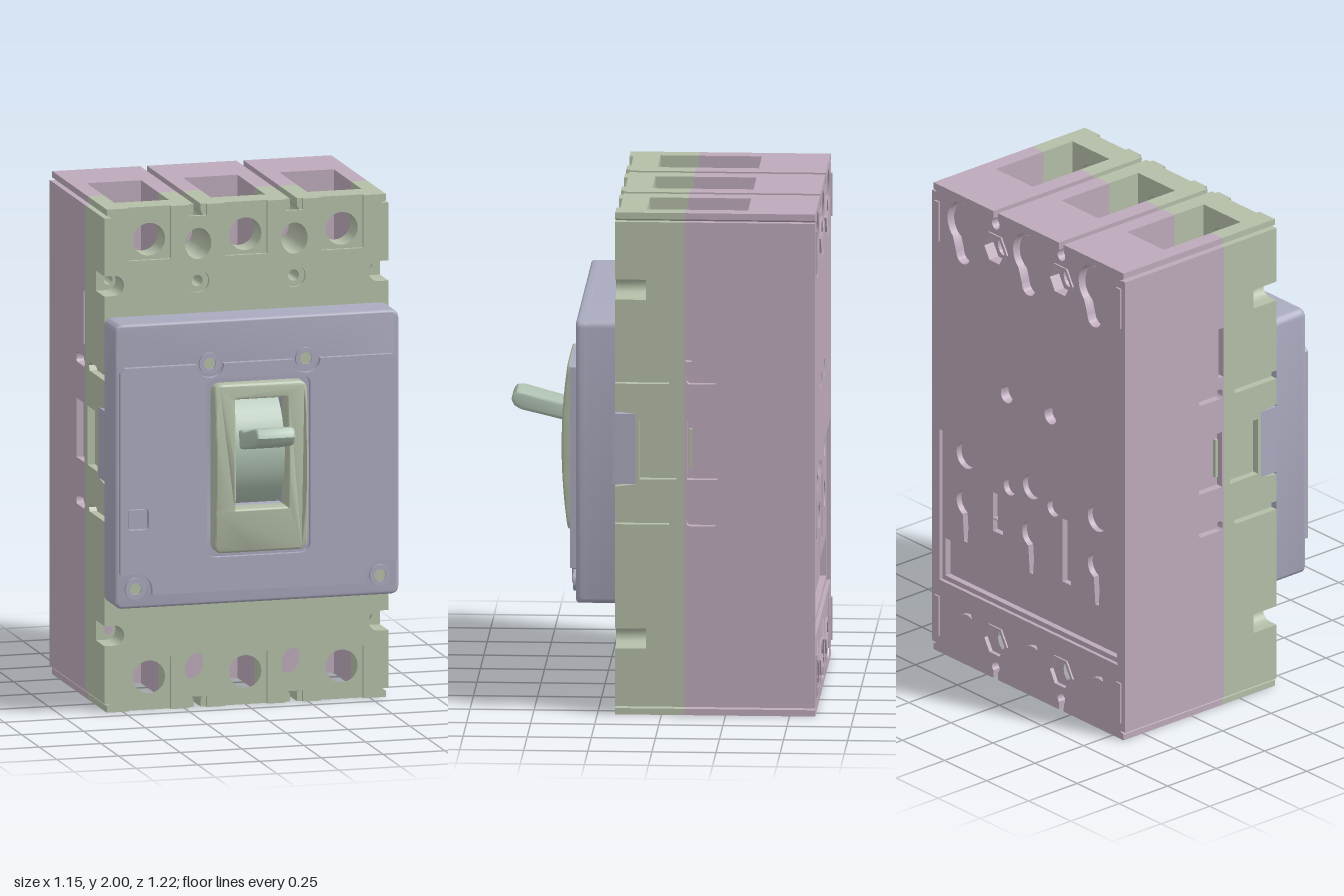
import * as THREE from 'three';
import { toCreasedNormals } from 'three/addons/utils/BufferGeometryUtils.js';

const mat = (color) => new THREE.MeshStandardMaterial({ color });
const GREEN = mat(0xb4bea8), PURPLE = mat(0xbdaabb), BLUE = mat(0xaaaabf), PALE = mat(0xafc2b3);
const V = (x, y) => new THREE.Vector2(x, y);
const rad = THREE.MathUtils.degToRad;

// Point loops
function arc(cx, cy, rx, a0, a1, n = 20, ry = rx) {
  return Array.from({ length: n + 1 }, (_, i) => {
    const a = rad(a0 + ((a1 - a0) * i) / n);
    return V(cx + rx * Math.cos(a), cy + ry * Math.sin(a));
  });
}
const circle = (cx, cy, r, ry = r, n = 32) => arc(cx, cy, r, 0, 360 - 360 / n, n - 1, ry);
const hex = (cx, cy, r) => circle(cx, cy, r, r, 6);
function rect(x0, x1, y0, y1, r = 0) {
  if (!r) return [V(x0, y0), V(x1, y0), V(x1, y1), V(x0, y1)];
  return [...arc(x1 - r, y1 - r, r, 0, 90, 6), ...arc(x0 + r, y1 - r, r, 90, 180, 6),
    ...arc(x0 + r, y0 + r, r, 180, 270, 6), ...arc(x1 - r, y0 + r, r, 270, 360, 6)];
}
const keyhole = (x, y, r, w, y1) => [...arc(x, y, r, -70, 250, 24), V(x - w, y1), V(x + w, y1)];
const flipY = (p) => p.map((v) => V(v.x, 2 - v.y));
const flipX = (p) => p.map((v) => V(-v.x, v.y));
const bothEnds = (list) => [...list, ...list.map(flipY)];

function extrude(pts, holes, z0, z1, bevel = 0) {
  const shape = new THREE.Shape(pts);
  shape.holes = holes.map((h) => new THREE.Path(h));
  const geo = new THREE.ExtrudeGeometry(shape, {
    depth: z1 - z0 - 2 * bevel, bevelEnabled: bevel > 0, bevelThickness: bevel,
    bevelSize: bevel, bevelOffset: -bevel, bevelSegments: 3, curveSegments: 12,
  });
  geo.translate(0, 0, z0 + bevel);
  return toCreasedNormals(geo, 0.6);
}

// Section of the case: pole cut-outs, keyhole slots between poles, end lips
function caseOutline({ half = 0.11, depth = 0, slot = 0, mount = false }) {
  const q = depth ? [V(0, 2 - depth), V(half, 2 - depth), V(half, 2)] : [V(0, 2)];
  const s = 0.195;
  if (slot) q.push(V(s - slot, 2), V(s - slot, 1.955), V(s + slot, 1.955), V(s + slot, 2));
  else q.push(V(s - 0.014, 2), ...arc(s, 1.95, 0.023, 130, 410, 12), V(s + 0.014, 2));
  if (depth) q.push(V(0.39 - half, 2), V(0.39 - half, 2 - depth), V(0.39 + half, 2 - depth), V(0.39 + half, 2));
  q.push(V(0.565, 2), V(0.565, 1.975), V(0.545, 1.965));
  if (mount) q.push(V(0.545, 1.735), ...arc(0.535, 1.695, 0.04, 90, 270, 12), V(0.545, 1.655));
  const right = [...q, ...flipY(q).reverse()];
  return [...right, ...flipX(right).reverse()];
}

export function createModel() {
  const root = new THREE.Group();
  const add = (name, geo, material) => {
    const m = new THREE.Mesh(geo, material);
    m.name = name;
    root.add(m);
    return m;
  };
  const poles = [-0.39, 0, 0.39], gaps = [-0.195, 0.195];

  // Case, stacked from front to back
  const bolt = (r, ry) => bothEnds(gaps.map((x) => circle(x, 1.845, r, ry)));
  const wide = bolt(0.053, 0.062), narrow = bolt(0.032, 0.042);
  const ports = bothEnds(poles.map((x) => circle(x, 1.87, 0.065)));
  const upper = (r) => gaps.map((x) => circle(x, 1.695, r));
  const mounts = bothEnds([-0.525, 0.525].map((x) => circle(x, 1.695, 0.018)));
  // window behind the switch
  const well = rect(-0.105, 0.105, 0.825, 1.26);
  add('caseFrontFace', extrude(caseOutline({ half: 0.085, depth: 0.21, slot: 0.035, mount: true }),
    [...wide, ...upper(0.045), well], 0.165, 0.18), GREEN);
  add('caseFrontWall', extrude(caseOutline({ mount: true }), [...wide, ...ports, ...upper(0.022), well], 0.06, 0.165), GREEN);
  add('caseFrontHalf', extrude(caseOutline({ depth: 0.4 }), [...wide, ...upper(0.022), ...mounts], -0.09, 0.06), GREEN);
  add('caseRearHalf', extrude(caseOutline({ depth: 0.4 }), narrow, -0.335, -0.09), PURPLE);
  add('caseRearWall', extrude(caseOutline({}), narrow, -0.56, -0.335), PURPLE);

  // Recesses in the back
  const drop = (x) => [...arc(x, 1.88, 0.092, -50, 230, 30), ...arc(x, 1.75, 0.04, 180, 360, 12)];
  const backHoles = [...bothEnds([...poles.map(drop), ...gaps.map((x) => hex(x, 1.84, 0.06))]),
    circle(-0.13, 1.24, 0.035), circle(0.13, 1.24, 0.035)];
  const panelHoles = [
    ...poles.map((x) => circle(x, 0.885, x ? 0.055 : 0.05)),
    ...poles.map((x) => keyhole(x, 0.68, 0.055, 0.01, 0.515)),
    circle(0.13, 0.84, 0.035), circle(-0.13, 0.84, 0.035),
    rect(0.17, 0.23, 0.62, 0.67), rect(0.2, 0.23, 0.675, 0.785),
    rect(-0.235, -0.185, 0.545, 0.815), rect(-0.51, 0.51, 0.33, 0.49),
  ];
  add('backRecessLayer', extrude(caseOutline({}), [...backHoles, ...panelHoles], -0.585, -0.56), PURPLE);
  add('backFace', extrude(caseOutline({}), [...backHoles, rect(-0.53, 0.53, 0.31, 0.955)], -0.6, -0.585), PURPLE);
  for (const y of [1.845, 0.155]) {
    for (const x of gaps) add('boltRim', extrude(hex(x, y < 1 ? 0.16 : 1.84, 0.075), [hex(x, y < 1 ? 0.16 : 1.84, 0.06)], -0.607, -0.59), PURPLE);
    for (const x of [-0.54, 0.54]) add('backFoot', new THREE.BoxGeometry(0.025, 0.17, 0.02).translate(x, y, -0.598), PURPLE);
  }
  for (const y of [1.88, 0.12])
    for (const x of poles) add('terminalPlug', extrude(circle(x, y, 0.078), [], -0.578, -0.555), PURPLE);

  // Side skins drawn as z against y, with their grooves and windows
  const fq = [V(-0.09, 1.965), V(0.18, 1.965), V(0.18, 1.735), V(0.06, 1.735), V(0.06, 1.655), V(0.18, 1.655),
    V(0.18, 1.355), V(-0.03, 1.355), V(-0.04, 1.34), V(-0.03, 1.32), V(0.18, 1.32)];
  const flank = [...fq, V(0.18, 1.21), V(0.1, 1.2), V(0.1, 0.92), V(0.18, 0.91),
    ...fq.map((p) => V(p.x, p.y > 1.4 ? 2 - p.y : 2.115 - p.y)).reverse()];
  const rearHoles = [rect(-0.22, -0.1, 0.94, 1.175), rect(-0.12, -0.094, 1.41, 1.62),
    rect(-0.22, -0.098, 1.32, 1.36, 0.015), rect(-0.22, -0.098, 0.755, 0.795, 0.015)];
  for (const s of [-1, 1]) {
    const side = (g) => g.rotateY(-Math.PI / 2).translate(s > 0 ? 0.575 : -0.545, 0, 0);
    add('frontSideSkin', side(extrude(flank, [rect(-0.06, 0.085, 0.94, 1.175)], 0, 0.03)), GREEN);
    add('rearSideSkin', side(extrude(rect(-0.6, -0.09, 0.035, 1.965), rearHoles, 0, 0.03)), PURPLE);
    add('coverSideTab', new THREE.BoxGeometry(0.03, 0.28, 0.09).translate(s * 0.56, 1.06, 0.145), BLUE);
    add('sideLatch', new THREE.BoxGeometry(0.015, 0.16, 0.012).translate(s * 0.552, 1.06, -0.115), GREEN);
  }

  // Cover with a stepped label recess
  const coverEdge = rect(-0.575, 0.575, 0.44, 1.57, 0.03);
  const label = [V(-0.54, 1.545), V(-0.555, 1.53), V(-0.555, 1.42), V(-0.26, 1.42), V(-0.22, 1.44), V(-0.17, 1.48),
    V(-0.14, 1.488), V(0.555, 1.488), V(0.555, 1.535), V(0.54, 1.545)];
  add('coverBase', extrude(coverEdge, [well], 0.18, 0.315), BLUE);
  add('coverFront', extrude(coverEdge, [label, well], 0.28, 0.333, 0.012), BLUE);

  // Raised face plate, cut back around the screws
  const half = [V(0, 1.4), ...arc(0.195, 1.4, 0.055, 180, 360), V(0.54, 1.4), V(0.56, 1.38), V(0.56, 0.58),
    ...arc(0.495, 0.515, 0.065, 90, 180, 10), V(0.43, 0.495), V(0, 0.495)];
  add('facePlate', extrude([...half, ...flipX(half.slice(1, -1)).reverse()],
    [rect(-0.21, 0.21, 0.63, 1.34, 0.04), rect(-0.53, -0.445, 0.755, 0.84, 0.015)], 0.32, 0.356), BLUE);
  add('testButton', extrude(rect(-0.525, -0.45, 0.76, 0.835, 0.012), [], 0.32, 0.35), BLUE);
  for (const [x, y] of [[0.195, 1.4], [0.495, 0.52]])
    for (const s of [-1, 1]) {
      add('screwCollar', extrude(circle(s * x, y, 0.042), [circle(s * x, y, 0.024)], 0.32, 0.346), BLUE);
      add('screw', extrude(circle(s * x, y, 0.024), [], 0.32, 0.337), GREEN);
    }

  // Bowed switch frame
  const dense = (pts, n) => new THREE.Path([...pts, pts[0]]).getSpacedPoints(n).slice(0, -1);
  const frame = extrude(dense(rect(-0.188, 0.188, 0.65, 1.32, 0.03), 120), [dense(well, 80)], 0.31, 0.385, 0.008);
  const p = frame.attributes.position;
  for (let i = 0; i < p.count; i++)
    if (p.getZ(i) > 0.35) p.setZ(i, p.getZ(i) + 0.025 * (1 - ((p.getY(i) - 0.985) / 0.335) ** 2));
  frame.computeVertexNormals();
  add('switchFrame', toCreasedNormals(frame, 0.6), GREEN);

  // Curved drum and toggle
  add('switchDrum', new THREE.CylinderGeometry(0.27, 0.27, 0.204, 48).rotateZ(Math.PI / 2).translate(0, 1.03, 0.1), PALE);
  const lever = [V(0.33, 1.05), V(0.41, 1.065), V(0.575, 1.105), V(0.6, 1.12), V(0.612, 1.145), V(0.605, 1.165),
    V(0.59, 1.178), V(0.565, 1.178), V(0.41, 1.135), V(0.33, 1.13)];
  add('toggle', extrude(lever, [], -0.08, 0.08, 0.012).rotateY(-Math.PI / 2), PALE);

  return root;
}
